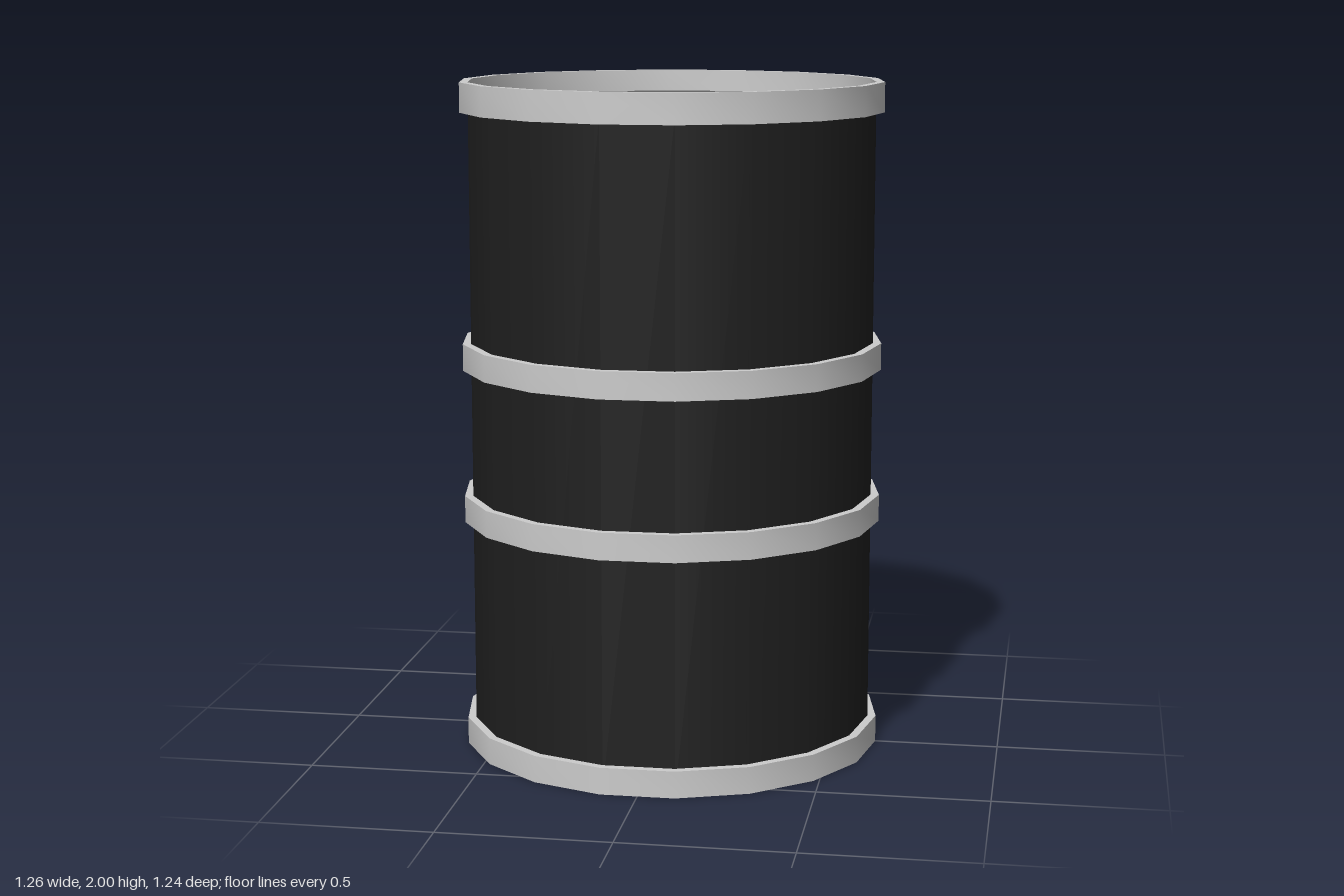
import * as THREE from 'three';
import { toCreasedNormals } from 'three/addons/utils/BufferGeometryUtils.js';

const SIDES = 18;
const BODY_R = 0.605;
const BAND_R = 0.63;
const LID_Y = 1.935;
const BASE_Y = 0.004;
const TURN = Math.PI / SIDES; // puts a corner on the x axis

export function createModel() {
  const barrel = new THREE.Group();
  barrel.name = 'barrel';

  const bandMat = new THREE.MeshStandardMaterial({ color: 0xcccccc });
  const bodyMat = new THREE.MeshStandardMaterial({ color: 0x1f1f1f });
  const lidMat = new THREE.MeshStandardMaterial({ color: 0x636363 });

  const add = (name, geometry, material) => {
    const mesh = new THREE.Mesh(geometry, material);
    mesh.name = name;
    barrel.add(mesh);
    return mesh;
  };

  // Body wall
  const wall = new THREE.CylinderGeometry(BODY_R, BODY_R, LID_Y - BASE_Y, SIDES, 1, true);
  wall.rotateY(TURN).translate(0, (LID_Y + BASE_Y) / 2, 0);
  add('body', wall, bodyMat);

  // Sunken lid and flat base
  const disc = new THREE.CircleGeometry(BODY_R, SIDES);
  add('lid', disc.clone().rotateX(-Math.PI / 2).translate(0, LID_Y, 0), lidMat);
  add('base', disc.clone().rotateX(Math.PI / 2).translate(0, BASE_Y, 0), lidMat);

  // Hoops: rectangular section swept round, with sharp edges
  const bands = [
    ['bottomRim', 0, 0.08],
    ['lowerHoop', 0.69, 0.77],
    ['upperHoop', 1.15, 1.23],
    ['topRim', 1.912, 2],
  ];
  for (const [name, y0, y1] of bands) {
    const section = [
      [BAND_R, y0], [BAND_R, y1], [BODY_R, y1], [BODY_R, y0], [BAND_R, y0],
    ].map(([x, y]) => new THREE.Vector2(x, y));
    const ring = new THREE.LatheGeometry(section, SIDES, TURN);
    add(name, toCreasedNormals(ring, 0.6), bandMat);
  }

  return barrel;
}
